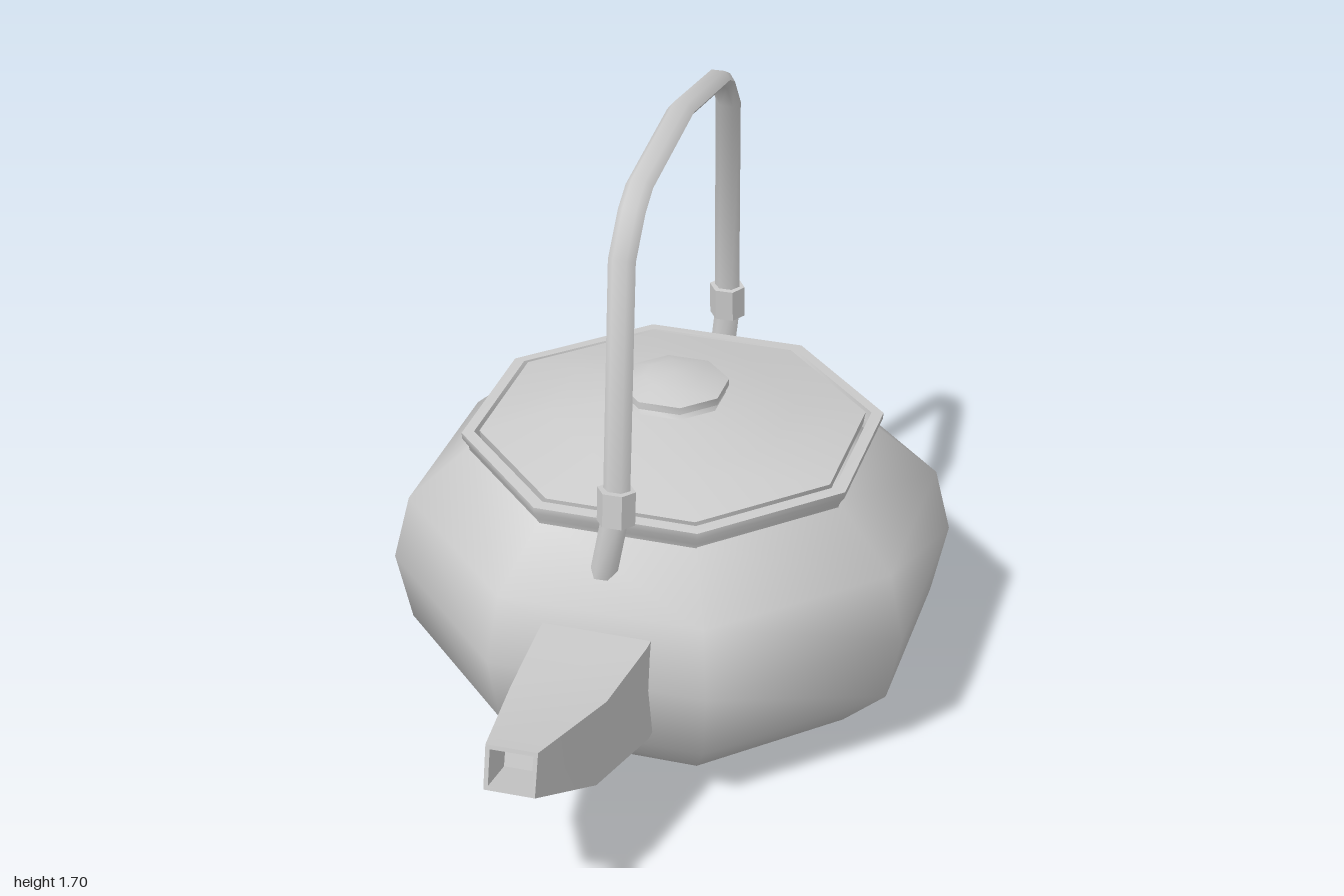
import * as THREE from 'three';
import { toCreasedNormals } from 'three/addons/utils/BufferGeometryUtils.js';

const material = new THREE.MeshStandardMaterial({ color: 0xcccccc, side: THREE.DoubleSide });
const TURN = THREE.MathUtils.degToRad(21.5);

function part(name, geometry, crease = 0.9) {
  const mesh = new THREE.Mesh(toCreasedNormals(geometry, crease), material);
  mesh.name = name;
  return mesh;
}

// Eight-sided turned part, standing behind the origin
function turned(name, profile, z, crease) {
  const points = profile.map(([r, y]) => new THREE.Vector2(r, y));
  const mesh = part(name, new THREE.LatheGeometry(points, 8, TURN), crease);
  mesh.position.z = z;
  return mesh;
}

// Skin over equal-sized rings of points, with the last ring closed
function loft(rings) {
  const n = rings[0].length;
  const index = [];
  for (let i = 0; i < rings.length - 1; i++) {
    for (let j = 0; j < n; j++) {
      const k = (j + 1) % n;
      const a = i * n + j, b = i * n + k, c = b + n, d = a + n;
      index.push(a, b, c, a, c, d);
    }
  }
  const last = (rings.length - 1) * n;
  for (let j = 1; j < n - 1; j++) index.push(last, last + j, last + j + 1);
  const geometry = new THREE.BufferGeometry();
  geometry.setAttribute('position', new THREE.Float32BufferAttribute(rings.flat(2), 3));
  geometry.setIndex(index);
  return geometry;
}

// Flattened six-sided rod along a path
function rod(path, rx, ry) {
  const pts = path.map(p => new THREE.Vector3(...p));
  return loft(pts.map((p, i) => {
    const into = p.clone().sub(pts[Math.max(i - 1, 0)]).normalize();
    const out = pts[Math.min(i + 1, pts.length - 1)].clone().sub(p).normalize();
    const t = into.add(out).normalize();
    const u = new THREE.Vector3(1, 0, 0).addScaledVector(t, -t.x).normalize();
    const v = t.clone().cross(u);
    return Array.from({ length: 6 }, (_, j) => {
      const a = j * Math.PI / 3;
      return p.clone().addScaledVector(u, rx * Math.cos(a)).addScaledVector(v, ry * Math.sin(a)).toArray();
    });
  }));
}

// Four-cornered spout section: left and right x at bottom and top, then heights and depths
const section = (bl, br, tl, tr, yb, yt, zb, zt) =>
  [[bl, yb, zb], [br, yb, zb], [tr, yt, zt], [tl, yt, zt]];

export function createModel() {
  const group = new THREE.Group();

  // Pot: belly, flared rim and foot
  group.add(turned('body', [
    [0.24, 0.03], [0.582, 0.057], [0.715, 0.19], [0.757, 0.385],
    [0.713, 0.565], [0.545, 0.715],
  ], -0.295));
  group.add(turned('rim', [
    [0.54, 0.69], [0.545, 0.72], [0.562, 0.745], [0.563, 0.762], [0.53, 0.765], [0.52, 0.735],
  ], -0.285));
  group.add(turned('foot', [
    [0, 0], [0.235, 0], [0.248, 0.012], [0.245, 0.024], [0.225, 0.04],
  ], -0.285));

  // Lid and knob
  group.add(turned('lid', [
    [0.51, 0.735], [0.515, 0.768], [0.33, 0.812], [0.145, 0.848], [0, 0.852],
  ], -0.283));
  group.add(turned('knob', [
    [0.14, 0.845], [0.128, 0.866], [0.146, 0.868], [0.146, 0.888], [0.08, 0.91], [0, 0.917],
  ], -0.285));

  // Spout, hollow at the tip
  group.add(part('spout', loft([
    section(-0.165, 0.13, -0.16, 0.13, 0.235, 0.515, 0.25, 0.25),
    section(-0.165, 0.13, -0.16, 0.125, 0.24, 0.515, 0.41, 0.41),
    section(-0.143, 0.085, -0.15, 0.095, 0.305, 0.515, 0.72, 0.66),
    section(-0.108, 0.02, -0.108, 0.022, 0.452, 0.566, 1.0, 0.975),
    section(-0.097, 0.009, -0.097, 0.011, 0.463, 0.555, 0.998, 0.977),
    section(-0.1, 0.013, -0.1, 0.015, 0.43, 0.535, 0.87, 0.84),
  ]), 0.7));

  // Arched handle
  group.add(part('handle', rod([
    [-0.03, 0.61, 0.28], [0.008, 0.81, 0.288], [0.01, 0.89, 0.28], [0.004, 1.48, 0.208],
    [0.006, 1.575, 0.13], [0.008, 1.615, 0.07], [0.02, 1.675, -0.26], [0.012, 1.6, -0.65],
    [0.01, 1.57, -0.71], [0.004, 1.475, -0.8], [-0.008, 0.89, -0.868],
    [-0.008, 0.81, -0.877], [-0.025, 0.61, -0.86],
  ], 0.035, 0.025), 1.1));

  // Collars where the handle meets its lugs
  for (const [name, x, z, tilt] of [['frontCollar', 0.01, 0.286, -0.08], ['backCollar', -0.008, -0.873, 0.08]]) {
    const collar = part(name, new THREE.CylinderGeometry(0.05, 0.05, 0.092, 6, 1, false, Math.PI / 6 * 3));
    collar.scale.z = 0.85;
    collar.position.set(x, 0.838, z);
    collar.rotation.x = tilt;
    group.add(collar);
  }
  return group;
}
